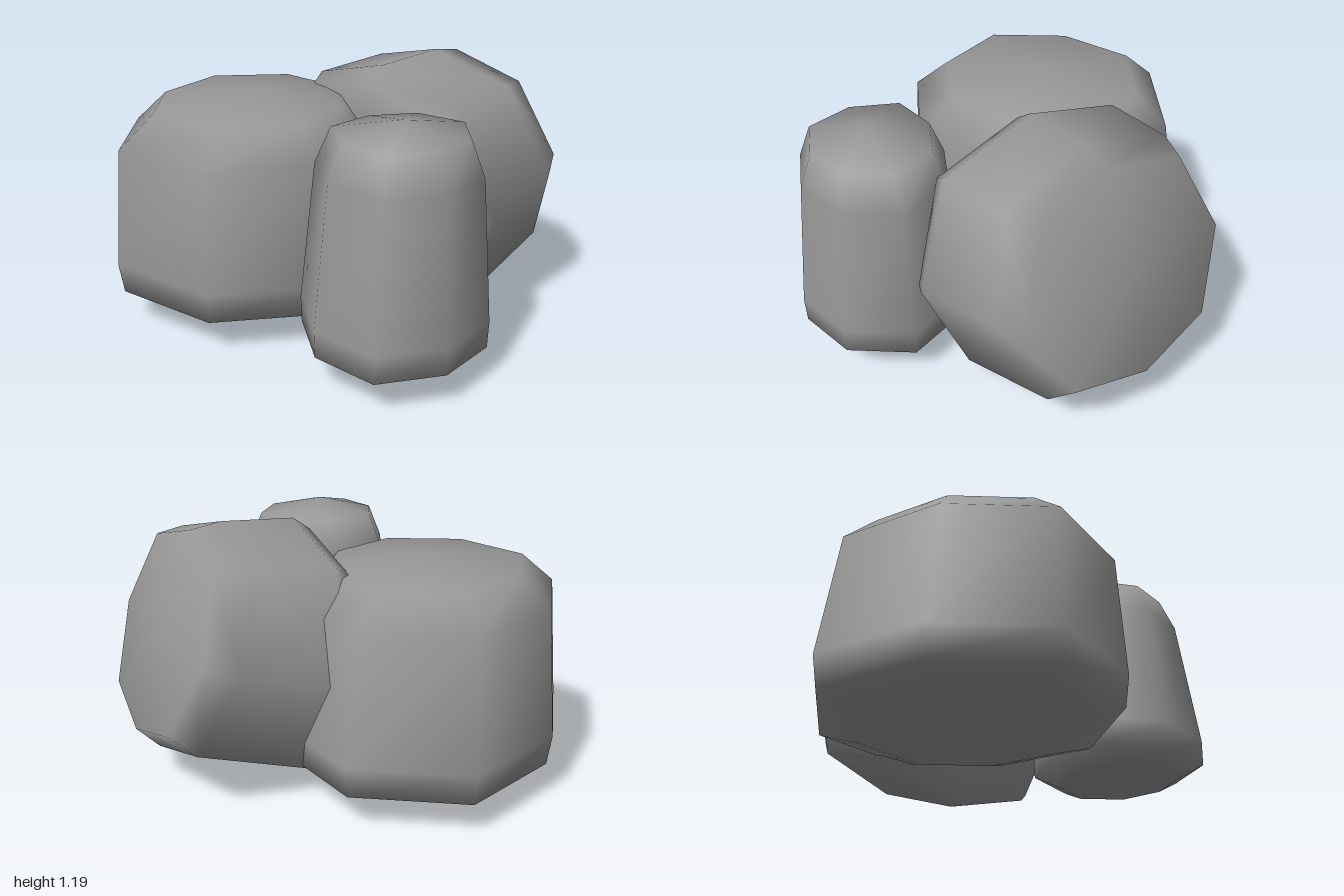
import * as THREE from 'three';

// Lofted boulder: eight radii around the axis (from +x towards +z) between two poles.
// Each profile ring is [height, scale, z shift, tilt], the tilt raising the +z side.
function boulder(name, radii, profile, bottomY, topY) {
  const n = radii.length, rings = profile.length;
  const points = [], index = [];
  for (const [y, s, shift = 0, tilt = 0] of profile) {
    radii.forEach((r, i) => {
      const a = (i / n) * Math.PI * 2;
      const z = Math.sin(a) * r * s;
      points.push(Math.cos(a) * r * s, y + tilt * z, z + shift);
    });
  }
  const bottom = rings * n, top = bottom + 1;
  points.push(0, bottomY, 0, 0, topY, 0);

  for (let i = 0; i < n; i++) {
    const j = (i + 1) % n;
    index.push(bottom, i, j);
    for (let k = 0; k < rings - 1; k++) {
      const a = k * n + i, b = k * n + j;
      index.push(a, a + n, b, b, a + n, b + n);
    }
    const last = (rings - 1) * n;
    index.push(top, last + j, last + i);
  }

  const geometry = new THREE.BufferGeometry();
  geometry.setAttribute('position', new THREE.Float32BufferAttribute(points, 3));
  geometry.setIndex(index);
  geometry.computeVertexNormals();
  const mesh = new THREE.Mesh(geometry, new THREE.MeshStandardMaterial({ color: 0x979797 }));
  mesh.name = name;
  return mesh;
}

export function createModel() {
  const group = new THREE.Group();
  group.name = 'boulderCluster';

  // Broad upright boulder
  const wide = boulder('wideBoulder',
    [0.61, 0.66, 0.685, 0.72, 0.66, 0.715, 0.70, 0.66],
    [[0.105, 0.70], [0.16, 0.97], [0.30, 1], [0.86, 0.915, 0.03], [1.0, 0.69, 0.02]], 0.08, 1.05);
  wide.position.set(-0.34, 0, 0);

  // Slim upright boulder in front
  const slim = boulder('slimBoulder',
    [0.39, 0.375, 0.415, 0.40, 0.43, 0.385, 0.41, 0.43],
    [[0.10, 0.69], [0.16, 0.99], [0.28, 1], [0.90, 0.86, -0.02], [1.06, 0.70, -0.02]], 0.08, 1.12);
  slim.position.set(0.47, 0, 0.53);

  // Boulder lying on its side, its flat crown pointing back and slightly up
  const fallen = boulder('fallenBoulder',
    [0.64, 0.63, 0.58, 0.65, 0.64, 0.65, 0.58, 0.65],
    [[-0.14, 0.68, -0.045, -0.15], [-0.07, 0.95, -0.045, -0.15], [0, 1, -0.045, -0.19],
      [0.445, 0.92], [0.577, 0.80]], -0.16, 0.60);
  fallen.rotation.set(1.239, 2.556, 0, 'YXZ');
  fallen.position.set(0.292, 0.542, -0.206);

  group.add(wide, slim, fallen);
  return group;
}
